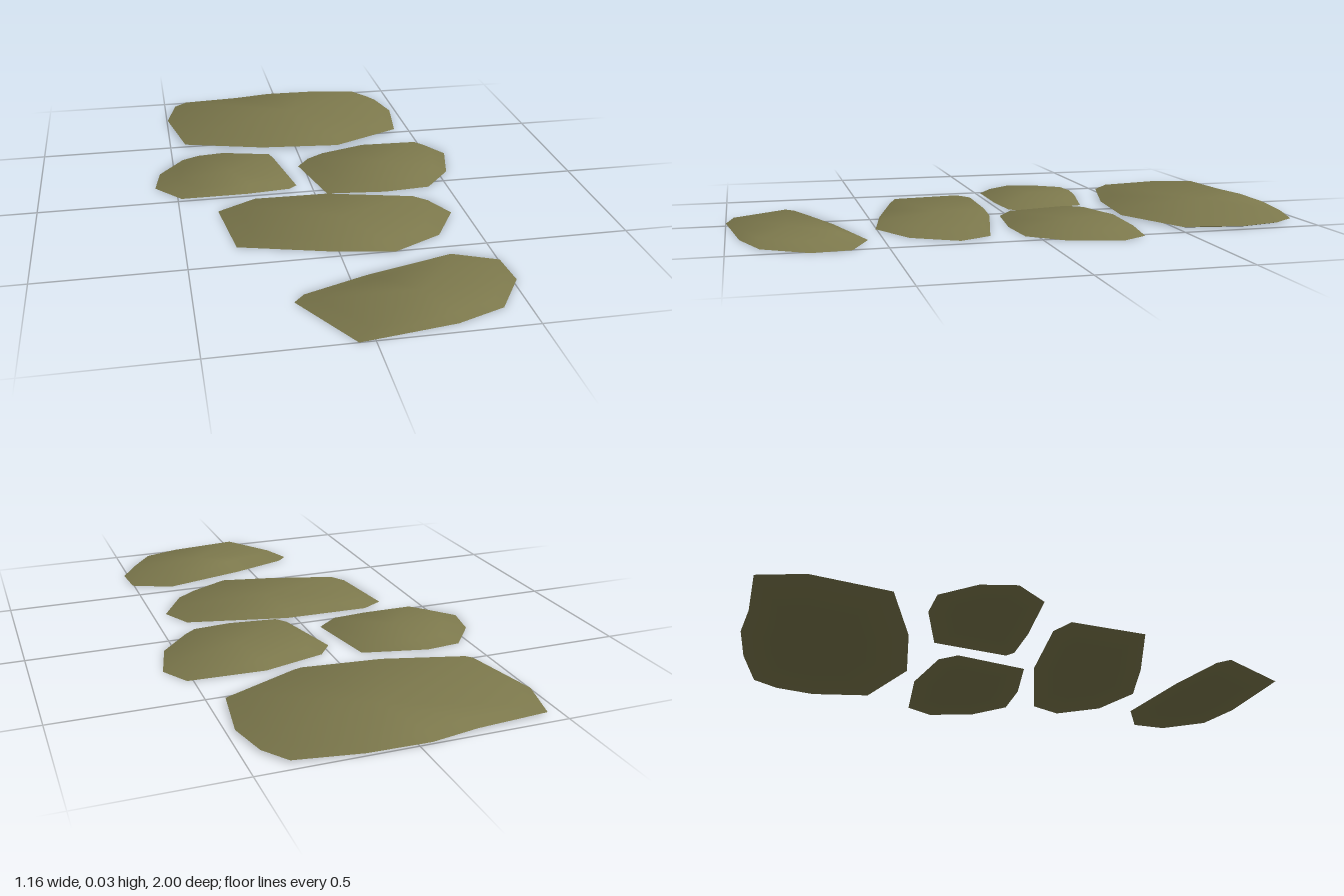
import * as THREE from 'three';
import { mergeGeometries } from 'three/addons/utils/BufferGeometryUtils.js';

const TILT = 0.35; // how far the rounded normals lean outwards at the edges

function centreOf(points) {
  return points.reduce((sum, p) => sum.add(p), new THREE.Vector3()).divideScalar(points.length);
}

// Outline of the slab at one level, scaled about its centre.
function ring(outline, y, sx, sz, dx = 0, dz = 0) {
  const c = centreOf(outline);
  return outline.map((p) => new THREE.Vector3(c.x + (p.x - c.x) * sx + dx, y, c.z + (p.z - c.z) * sz + dz));
}

// Half of a slab: rings from the rim inwards, closed by a fan; side is 1 for the top, -1 for the underside.
function shell(rings, side) {
  const n = rings[0].length, points = rings.flat(), normals = [], index = [];
  const tri = (a, b, c) => (side > 0 ? index.push(a, b, c) : index.push(a, c, b));
  for (const points of rings) {
    const c = centreOf(points);
    for (const p of points) {
      const out = p.clone().sub(c).setLength(TILT);
      out.y = side;
      normals.push(out.normalize());
    }
  }
  points.push(centreOf(rings.at(-1)));
  normals.push(new THREE.Vector3(0, side, 0));

  for (let i = 0; i < n; i++) {
    const next = (i + 1) % n;
    for (let o = 0; o < (rings.length - 1) * n; o += n) {
      tri(o + n + i, o + n + next, o + next);
      tri(o + n + i, o + next, o + i);
    }
    const inner = (rings.length - 1) * n;
    tri(points.length - 1, inner + next, inner + i);
  }
  const geometry = new THREE.BufferGeometry().setFromPoints(points);
  geometry.setAttribute('normal', new THREE.Float32BufferAttribute(normals.flatMap((v) => v.toArray()), 3));
  geometry.setIndex(index);
  return geometry;
}

export function createModel() {
  const group = new THREE.Group();
  group.name = 'steppingStones';
  const material = new THREE.MeshStandardMaterial({ color: 0x7c784c });
  material.name = 'mossyStone';

  // Outlines are x, z pairs running clockwise seen from above.
  function addStone(name, coords, topX, topZ, { height = 0.027, shiftX = 0, shiftZ = 0, undercut = false } = {}) {
    const outline = [];
    for (let i = 0; i < coords.length; i += 2) outline.push(new THREE.Vector3(coords[i], 0, coords[i + 1]));
    const rim = ring(outline, undercut ? 0.006 : 0, 1, 1);
    const top = ring(outline, height, topX, topZ, shiftX, shiftZ);
    const under = undercut ? [rim, ring(outline, 0, 0.95, 0.93)] : [rim];
    const mesh = new THREE.Mesh(mergeGeometries([shell([rim, top], 1), shell(under, -1)]), material);
    mesh.name = name;
    group.add(mesh);
  }

  // large slab at the back, its rim lifted just off the ground
  addStone('backSlab', [-.455, -.95, -.205, -.97, -.04, -1, .165, -.995, .38, -.96, .44, -.875,
    .473, -.735, .44, -.52, .17, -.395, -.135, -.425, -.44, -.51, -.497, -.785],
  0.9, 0.89, { height: 0.03, undercut: true });

  // pair side by side
  addStone('rightStone', [-.46, -.37, -.335, -.383, -.105, -.33, -.055, -.06,
    -.085, -.035, -.245, -.02, -.487, -.02, -.578, -.125, -.555, -.25], 0.77, 0.84, { shiftX: 0.03 });
  addStone('leftStone', [.03, -.295, .25, -.357, .52, -.347, .578, -.25, .535, -.08,
    .43, .04, .26, .053, .045, .03, -.02, -.23], 0.79, 0.87);

  // single stones towards the front
  addStone('middleStone', [-.365, .105, -.285, .06, .03, .065, .395, .15, .45, .26,
    .36, .415, .185, .503, -.04, .46, -.33, .38], 0.83, 0.9);
  addStone('frontStone', [-.16, .715, .055, .635, .36, .55, .505, .615, .515, .745,
    .42, .895, .26, .955, -.05, 1, -.197, .755], 0.83, 0.74, { shiftZ: 0.033 });

  return group;
}
